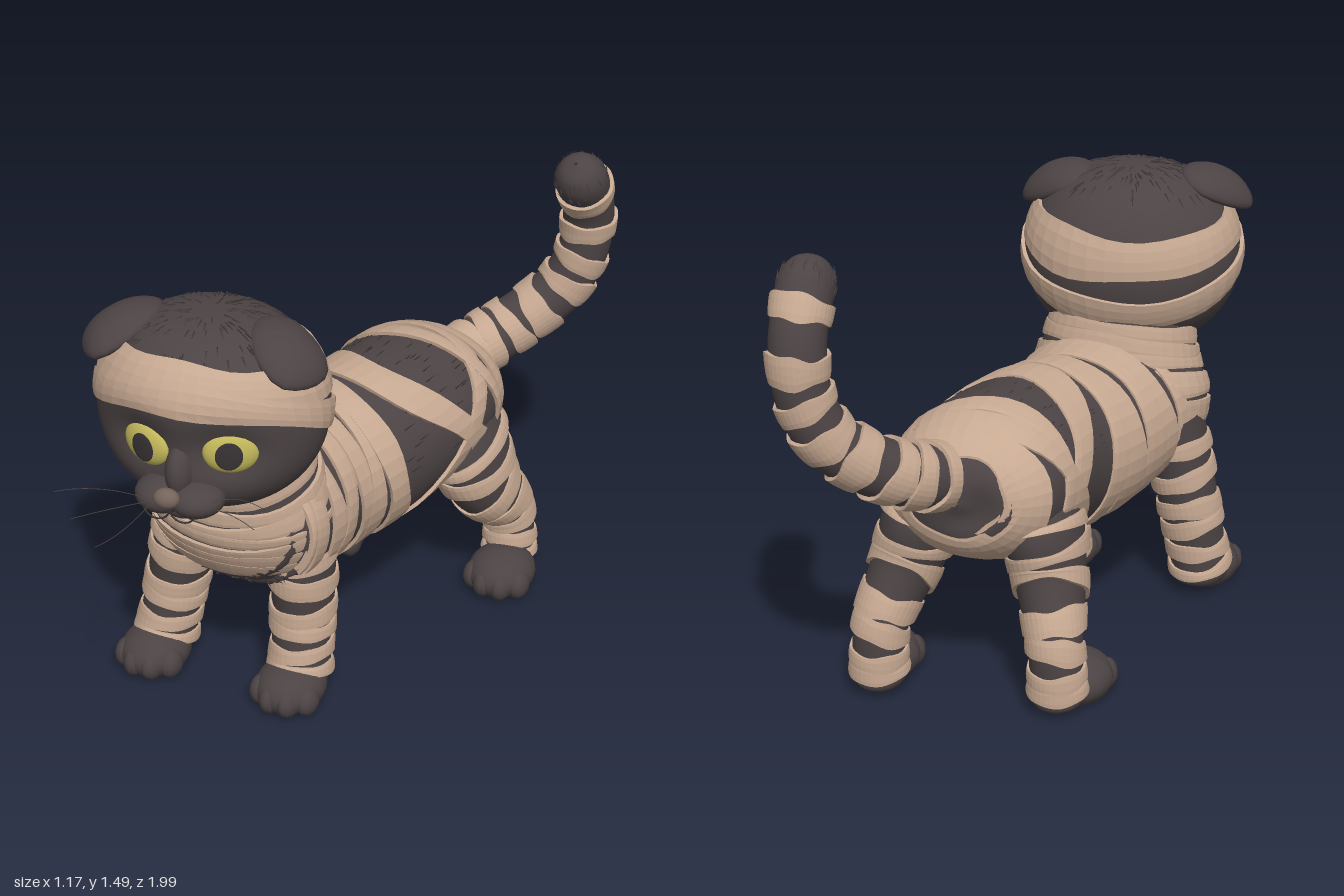
import * as THREE from 'three';
import { mergeVertices, mergeGeometries } from 'three/addons/utils/BufferGeometryUtils.js';

const mat = (name, color, side = THREE.FrontSide) => {
  const m = new THREE.MeshStandardMaterial({ color, side });
  m.name = name;
  return m;
};
const fur = mat('charcoal fur', 0x4c4344, THREE.DoubleSide);
const cloth = mat('linen bandage', 0xc7a992, THREE.DoubleSide);
const iris = mat('yellow iris', 0xc4b95c);
const pupilMat = mat('dark pupil', 0x383234);
const noseMat = mat('brown nose', 0x75645b);

const V = (x, y, z) => new THREE.Vector3(x, y, z);
const TAU = Math.PI * 2;
let seed = 7;
const rnd = () => (seed = (seed * 16807) % 2147483647) / 2147483647;

function add(parent, name, geo, material) {
  const m = new THREE.Mesh(geo, material);
  m.name = name;
  parent.add(m);
  return m;
}

// Skin a grid of points f(i, j)
function grid(nu, nv, f) {
  const pos = [], idx = [], w = nv + 1;
  for (let i = 0; i <= nu; i++) for (let j = 0; j <= nv; j++) pos.push(...f(i, j).toArray());
  for (let i = 0; i < nu; i++) for (let j = 0; j < nv; j++) {
    const a = i * w + j;
    idx.push(a, a + 1, a + w, a + 1, a + w + 1, a + w);
  }
  const g = new THREE.BufferGeometry();
  g.setAttribute('position', new THREE.Float32BufferAttribute(pos, 3));
  g.setIndex(idx);
  return g;
}
function skin(S, u1, nu, nv) {
  const g = mergeVertices(grid(nu, nv, (i, j) => S(u1 * i / nu, TAU * j / nv, 0)), 1e-5);
  g.computeVertexNormals();
  return g;
}

// Surface through rings [x, y, z, radiusA, radiusB]; u counts rings, a is the angle
function tube(rings, ref) {
  const n = rings.length - 1;
  const curve = (f) => new THREE.CatmullRomCurve3(rings.map(f), false, 'catmullrom', 0.5);
  const centre = curve((r) => V(r[0], r[1], r[2]));
  const radii = curve((r) => V(r[3], r[4] ?? r[3], 0));
  return (u, a, off) => {
    const t = Math.min(1, Math.max(0, u / n));
    const T = centre.getTangent(t), r = radii.getPoint(t);
    const A = ref.clone().cross(T).normalize(), B = T.clone().cross(A);
    return centre.getPoint(t).addScaledVector(A, (r.x + off) * Math.cos(a)).addScaledVector(B, (r.y + off) * Math.sin(a));
  };
}

// A wrapped strip with thickness: centre c, half width hw, tilt and its phase
const EDGE = [[-1, -0.01], [-1, 0.007], [-0.5, 0.01], [0, 0.011], [0.5, 0.012], [1, 0.012], [1, -0.01]];
function strip(S, c, hw, tilt = 0, phase = 0, a0 = 0, a1 = TAU) {
  const k = c * 9.7, n = 36;
  const g = grid(EDGE.length - 1, n, (i, j) => {
    const a = a0 + (a1 - a0) * j / n;
    const w = hw * (1 + 0.16 * Math.sin(2 * a + k) + 0.1 * Math.sin(5 * a + k));
    return S(c + tilt * Math.sin(a - phase) + EDGE[i][0] * w, a, EDGE[i][1]);
  }).toNonIndexed();
  g.computeVertexNormals();
  return g;
}
const wrap = (parent, name, S, list) =>
  add(parent, name, mergeGeometries(list.map((b) => strip(S, ...b))), cloth);

// Thin fur slivers lying along a surface
function tufts(parent, name, S, count, [u0, u1], [a0, a1], dir = 0.04) {
  const list = [];
  for (let i = 0; i < count; i++) {
    const u = u0 + (u1 - u0) * rnd(), a = a0 + (a1 - a0) * rnd();
    const p = S(u, a, 0.001), d = S(u + dir, a, 0.005).sub(p).normalize();
    const g = new THREE.ConeGeometry(0.004, 0.03 + 0.02 * rnd(), 3);
    g.applyQuaternion(new THREE.Quaternion().setFromUnitVectors(V(0, 1, 0), d));
    list.push(g.translate(p.x, p.y, p.z));
  }
  add(parent, name, mergeGeometries(list), fur);
}

function ball(parent, name, [x, y, z], [rx, ry, rz], material) {
  const m = add(parent, name, new THREE.SphereGeometry(1, 24, 16).scale(rx, ry, rz), material);
  m.position.set(x, y, z);
  return m;
}

// Paw with four toes, flat underneath
function paw(parent, x, z) {
  const parts = [new THREE.SphereGeometry(1, 20, 14).scale(0.113, 0.082, 0.13).translate(x, 0.058, z)];
  for (const [dx, dz] of [[-0.08, 0.05], [-0.03, 0.085], [0.03, 0.085], [0.08, 0.05]])
    parts.push(new THREE.SphereGeometry(1, 12, 10).scale(0.037, 0.05, 0.052).translate(x + dx, 0.05, z + dz));
  const g = mergeGeometries(parts), p = g.attributes.position;
  for (let i = 0; i < p.count; i++) p.setY(i, Math.max(0.003, p.getY(i)));
  g.computeVertexNormals();
  add(parent, 'paw', g, fur);
}

// Rounded head with eye sockets: u runs from chin to crown, a = 90 degrees is the face
function headS(u, a, off) {
  const phi = Math.PI * Math.min(1, Math.max(0, u)), k = 1 + off / 0.32;
  const y = -0.3 * Math.cos(phi), r = Math.pow(Math.max(0, Math.sin(phi)), 0.8), s = Math.sin(a);
  const x = -0.355 * r * Math.cos(a);
  const flat = 0.04 * Math.exp(-((y + 0.02) ** 2) / 0.012);
  const socket = 0.035 * Math.exp(-((y + 0.025) ** 2 + (Math.abs(x) - 0.14) ** 2) / 0.009);
  return V(x * k, y * k, 0.32 * r * s * k - Math.max(0, s) * (flat + socket));
}

function makeHead() {
  const head = new THREE.Group();
  head.name = 'head';
  head.position.set(-0.18, 1.11, 0.5);
  head.rotation.y = 0.12;
  add(head, 'skull', skin(headS, 1, 36, 60), fur);
  wrap(head, 'head bandages', headS, [[0.645, 0.072, 0.072], [0.515, 0.053, 0.15]]);
  tufts(head, 'crown fur', headS, 160, [0.76, 0.96], [0, TAU], -0.04);

  for (const s of [-1, 1]) {
    // Folded ear, narrowing to an outer tip
    const eg = new THREE.SphereGeometry(1, 20, 14), p = eg.attributes.position;
    for (let i = 0; i < p.count; i++) {
      const z = p.getZ(i), x = p.getX(i) * s;
      p.setXYZ(i, s * 0.125 * x, 0.046 * p.getY(i) - 0.03 * z * z - 0.02 * x * x, 0.145 * z * (1 - 0.3 * Math.max(0, x)) + 0.02 * x);
    }
    eg.computeVertexNormals();
    const ear = add(head, 'ear', eg, fur);
    ear.position.set(s * 0.27 - 0.01, 0.235, 0.035);
    ear.rotation.set(0.2, s * 0.25, -s * 0.5);

    // Eye with pupil
    const y = -0.03, u = Math.acos(-y / 0.3) / Math.PI;
    const eye = new THREE.Group();
    eye.name = 'eye';
    eye.position.copy(headS(u, Math.acos((-s * 0.128 - 0.01) / 0.355), 0));
    eye.position.y += s * 0.006;
    eye.rotation.y = s * 0.38;
    ball(eye, 'iris', [0, 0, 0], [0.085, 0.071, 0.034], iris);
    ball(eye, 'pupil', [-s * 0.008, 0, 0.032], [0.041, 0.046, 0.0045], pupilMat);
    head.add(eye);

    // Muzzle pad and mouth line
    ball(head, 'muzzle pad', [s * 0.052 - 0.01, -0.175, 0.265], [0.085, 0.055, 0.085], fur);
    const mouth = add(head, 'mouth', new THREE.TorusGeometry(0.04, 0.003, 6, 14, Math.PI), pupilMat);
    mouth.position.set(s * 0.04 - 0.015, -0.18, 0.342);
    mouth.rotation.z = Math.PI;
  }
  ball(head, 'nose bridge', [-0.01, -0.1, 0.25], [0.045, 0.09, 0.07], fur);
  ball(head, 'nose', [-0.025, -0.15, 0.336], [0.04, 0.032, 0.03], noseMat);
  ball(head, 'chin', [-0.01, -0.225, 0.22], [0.07, 0.045, 0.07], fur);

  // Whiskers
  for (const [x, y, z] of [[-0.35, -0.15, 0.4], [-0.2, -0.27, 0.47], [-0.28, -0.2, 0.45], [0.27, -0.16, 0.3], [0.24, -0.21, 0.33]]) {
    const path = new THREE.QuadraticBezierCurve3(V(Math.sign(x) * 0.07, -0.17, 0.33), V(x * 0.6, y + 0.04, z - 0.03), V(x, y, z));
    add(head, 'whisker', new THREE.TubeGeometry(path, 10, 0.0014, 4), fur);
  }
  return head;
}

export function createModel() {
  const cat = new THREE.Group();
  cat.name = 'bandagedKitten';

  // Body, rump to chest
  const body = tube([
    [0.10, 0.70, -0.685, 0.01], [0.10, 0.70, -0.66, 0.17, 0.13], [0.09, 0.69, -0.55, 0.26, 0.21],
    [0.06, 0.675, -0.38, 0.28, 0.25], [0, 0.645, -0.15, 0.27, 0.27], [-0.08, 0.63, 0.05, 0.27, 0.265],
    [-0.13, 0.64, 0.25, 0.285, 0.26], [-0.165, 0.66, 0.4, 0.285, 0.235], [-0.17, 0.66, 0.48, 0.24, 0.19],
    [-0.17, 0.66, 0.52, 0.15, 0.12], [-0.17, 0.66, 0.54, 0.01]], V(0, 1, 0));
  add(cat, 'body', skin(body, 10, 50, 40), fur);
  const over = [-0.6, Math.PI + 0.6];
  wrap(cat, 'body bandages', body, [
    [1.4, 0.5, 0.1], [3, 0.27, 0.9], [3, 0.24, -0.95], [2.4, 0.18, 0.35, 1],
    [4.4, 0.2, 0.15, 0.4], [4.8, 0.2, -0.1], [5.2, 0.21, 0.1, 1], [5.65, 0.2, -0.12], [6.05, 0.16, 0.15, 0.5],
    [6.55, 0.2, 0.2, 0, ...over], [7.05, 0.25, 0.12, 1, ...over]]);
  tufts(cat, 'back fur', body, 90, [2.6, 4.1], [0, Math.PI], -0.2);
  tufts(cat, 'chest fur', body, 70, [6.8, 8.3], [Math.PI * 1.2, Math.PI * 1.8], -0.2);

  // Chest and neck
  const neck = tube([[-0.17, 0.44, 0.33, 0.02], [-0.17, 0.46, 0.33, 0.2, 0.13], [-0.17, 0.57, 0.335, 0.275, 0.2],
    [-0.17, 0.69, 0.345, 0.295, 0.225], [-0.17, 0.81, 0.365, 0.26, 0.205], [-0.18, 0.95, 0.39, 0.22, 0.19]], V(0, 0, 1));
  add(cat, 'chest', skin(neck, 5, 30, 36), fur);
  wrap(cat, 'chest bandages', neck, [
    [1.85, 0.25, -0.12], [2.3, 0.24, -0.2, 0.4], [2.72, 0.22, -0.3, -0.2], [3.12, 0.2, -0.18, 0.5],
    [3.5, 0.2, -0.28, -0.4], [3.9, 0.19, -0.2, 0.3], [4.3, 0.18, -0.15, -0.3], [4.68, 0.17, -0.05]]);

  cat.add(makeHead());

  // Front legs: shoulder x, foot x
  for (const [xs, xf] of [[-0.36, -0.465], [0.02, 0.02]]) {
    const x = (t) => xs + (xf - xs) * t;
    const leg = tube([[x(0), 0.64, 0.3, 0.1, 0.14], [x(0.3), 0.47, 0.31, 0.1, 0.125], [x(0.6), 0.31, 0.31, 0.097, 0.107],
      [x(0.85), 0.16, 0.325, 0.094, 0.1], [x(1), 0.05, 0.34, 0.09, 0.1], [x(1), 0.01, 0.34, 0.01]], V(0, 0, 1));
    add(cat, 'frontLeg', skin(leg, 5, 24, 24), fur);
    wrap(cat, 'front leg bandages', leg, [[0.65, 0.14, 0.1], [1.25, 0.18, -0.08, 1], [1.95, 0.17, 0.08],
      [2.33, 0.16, -0.07, 2], [2.95, 0.19, 0.1, 1], [3.45, 0.15, -0.08]]);
    paw(cat, xf, 0.405);
  }

  // Hind legs: hip x, hock x, foot x
  for (const [xs, xh, xf] of [[-0.09, -0.19, -0.225], [0.24, 0.375, 0.395]]) {
    const x = (t) => xs + (xh - xs) * t;
    const leg = tube([[x(0), 0.66, -0.44, 0.1, 0.15], [x(0.2), 0.55, -0.45, 0.12, 0.185], [x(0.5), 0.41, -0.485, 0.11, 0.15],
      [x(0.9), 0.25, -0.585, 0.085, 0.092], [x(1), 0.12, -0.597, 0.083, 0.083], [x(1), 0.04, -0.585, 0.08, 0.085],
      [x(1), 0.01, -0.58, 0.01]], V(0, 0, 1));
    add(cat, 'hindLeg', skin(leg, 6, 28, 24), fur);
    wrap(cat, 'hind leg bandages', leg, [[0.9, 0.16, 0.2], [1.6, 0.18, -0.12, 1], [2.15, 0.17, 0.1],
      [2.75, 0.18, -0.1], [3.25, 0.18, 0.1, 1], [3.85, 0.2, -0.08], [4.35, 0.2, 0.08]]);
    paw(cat, xf, -0.475);
  }

  // Tail
  const tail = tube([[0.13, 0.74, -0.55, 0.1], [0.2, 0.78, -0.68, 0.098], [0.3, 0.845, -0.79, 0.092], [0.42, 0.96, -0.875, 0.087],
    [0.48, 1.1, -0.9, 0.084], [0.495, 1.24, -0.895, 0.084], [0.495, 1.345, -0.845, 0.084], [0.492, 1.41, -0.795, 0.084],
    [0.49, 1.455, -0.765, 0.055], [0.49, 1.472, -0.752, 0.005]], V(0.85, 0, 0.5));
  add(cat, 'tail', skin(tail, 9, 54, 24), fur);
  wrap(cat, 'tail bandages', tail, [[0.75, 0.2, 0.06], [1.25, 0.18, -0.06], [1.8, 0.2, 0.08, 1], [2.45, 0.22, -0.06],
    [3.15, 0.22, 0.06], [3.85, 0.19, -0.08, 1], [4.65, 0.26, 0.06], [5.9, 0.3, 0.06]]);
  tufts(cat, 'tail tip fur', tail, 50, [6.7, 7.7], [0, TAU], 0.2);
  return cat;
}
